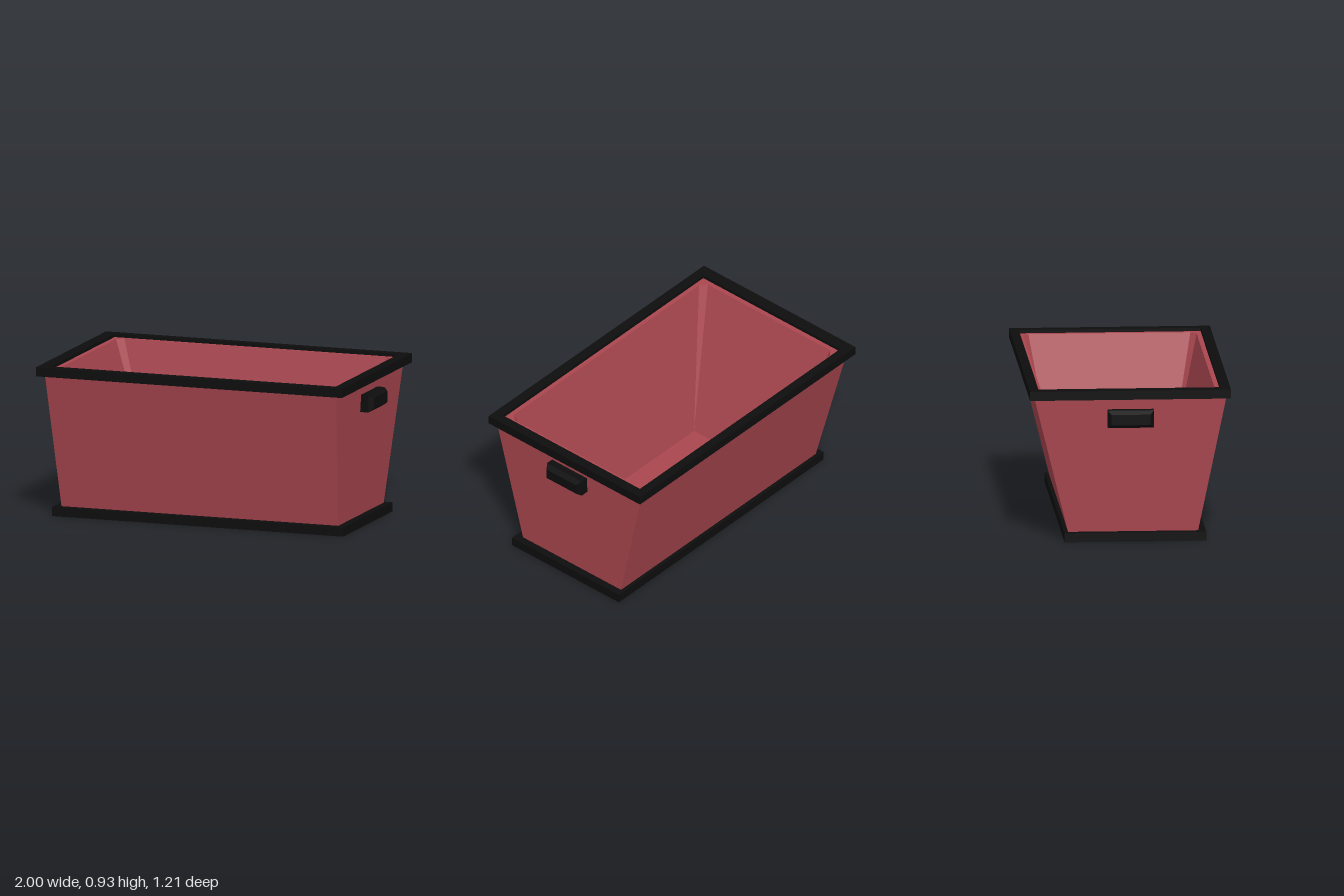
import * as THREE from 'three';

const red = new THREE.MeshStandardMaterial({ name: 'red plastic', color: 0xa9464f });
const black = new THREE.MeshStandardMaterial({ name: 'black trim', color: 0x0d0d0d });

// Rectangle at height y with chamfered corners, counterclockwise seen from above
function ring(y, x0, x1, z0, z1, cx = 0, cz = 0) {
  return [
    [x1 - cx, z1], [x1, z1 - cz], [x1, z0 + cz], [x1 - cx, z0],
    [x0 + cx, z0], [x0, z0 + cz], [x0, z1 - cz], [x0 + cx, z1],
  ].map(([x, z]) => new THREE.Vector3(x, y, z));
}

// Flat-sided skin through successive rings, closed at both ends
function loft(rings) {
  const points = [];
  const tri = (a, b, c) => {
    if (new THREE.Triangle(a, b, c).getArea() > 1e-9) points.push(a, b, c);
  };
  const centre = (r) => r.reduce((s, p) => s.add(p), new THREE.Vector3()).divideScalar(r.length);
  const first = rings[0], last = rings[rings.length - 1];
  const c0 = centre(first), c1 = centre(last);
  for (let i = 0; i < 8; i++) {
    const j = (i + 1) % 8;
    tri(c0, first[j], first[i]);
    for (let k = 0; k < rings.length - 1; k++) {
      const lo = rings[k], up = rings[k + 1];
      tri(lo[i], lo[j], up[j]);
      tri(lo[i], up[j], up[i]);
    }
    tri(c1, last[i], last[j]);
  }
  const geometry = new THREE.BufferGeometry().setFromPoints(points);
  geometry.computeVertexNormals();
  return geometry;
}

// Rectangular frame with an open middle, standing on height y
function frame(name, y, height, outer, inner) {
  const rect = (path, [x0, x1, z0, z1]) => path
    .moveTo(x0, -z1).lineTo(x1, -z1).lineTo(x1, -z0).lineTo(x0, -z0).closePath();
  const shape = rect(new THREE.Shape(), outer);
  shape.holes.push(rect(new THREE.Path(), inner));
  const geometry = new THREE.ExtrudeGeometry(shape, { depth: height, bevelEnabled: false });
  geometry.rotateX(-Math.PI / 2);
  const mesh = new THREE.Mesh(geometry, black);
  mesh.name = name;
  mesh.position.y = y;
  return mesh;
}

export function createModel() {
  const model = new THREE.Group();
  model.name = 'storageTub';

  // Tapered tub: outer walls, lip, then the steeper hollow inside
  const tub = new THREE.Mesh(loft([
    ring(0.01, -0.885, 0.878, -0.36, 0.4),
    ring(0.91, -0.932, 0.932, -0.583, 0.583),
    ring(0.91, -0.875, 0.882, -0.53, 0.512, 0.04, 0.035),
    ring(0.06, -0.57, 0.59, -0.345, 0.32),
  ]), red);
  tub.name = 'tub';
  model.add(tub);

  // Top rim and base frame
  model.add(frame('rim', 0.875, 0.055, [-0.98, 0.975, -0.605, 0.6], [-0.905, 0.913, -0.55, 0.54]));
  model.add(frame('baseFrame', 0, 0.055, [-0.932, 0.928, -0.395, 0.455], [-0.87, 0.865, -0.335, 0.395]));

  // Bevelled grip on each end
  for (const side of [1, -1]) {
    const handle = new THREE.Mesh(loft([
      ring(0.9, -0.053, 0.053, -0.138, 0.138),
      ring(0.972, -0.053, 0.053, -0.138, 0.138),
      ring(1, -0.032, 0.032, -0.117, 0.117),
    ]), black);
    handle.name = side > 0 ? 'leftHandle' : 'rightHandle';
    handle.rotation.z = -side * Math.PI / 2;
    handle.position.y = 0.755;
    model.add(handle);
  }
  return model;
}
